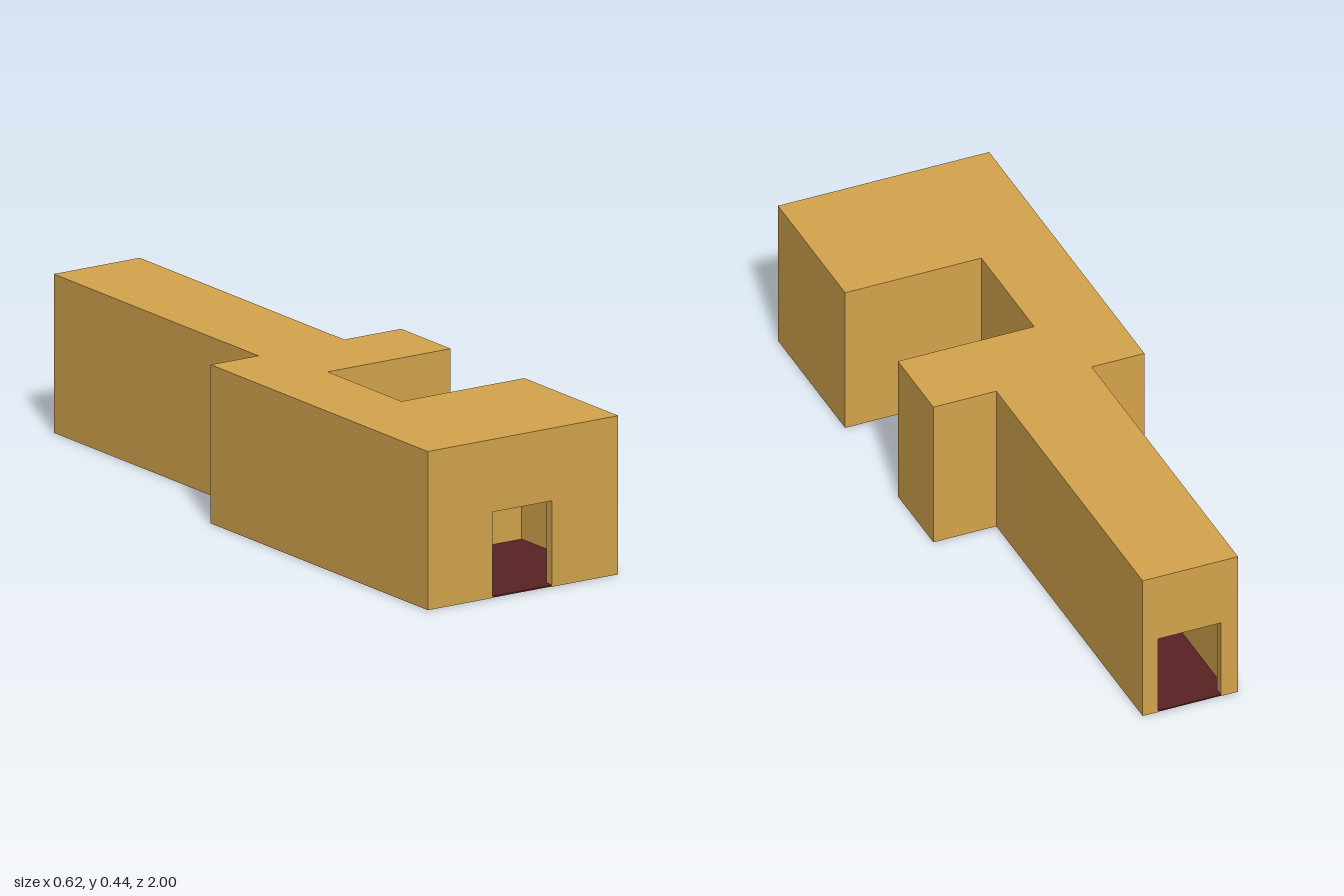
import * as THREE from 'three';

const HEIGHT = 0.443, DOOR = 0.24, ROOF = 0.028, WALL = 0.028;

// Outer wall lines in plan as [x, -z], running counter-clockwise between the two doorways
const EAST = [
  [0.095, -1], [0.31, -1], [0.31, -0.555], [-0.09, -0.555], [-0.09, -0.205],
  [0.31, -0.205], [0.31, 0.03], [0.125, 0.03], [0.125, 1], [0.08, 1],
];
const WEST = [
  [-0.105, 1], [-0.155, 1], [-0.155, 0.03], [-0.31, 0.03], [-0.31, -1], [-0.1, -1],
];

// Moves a right-angled wall line inward by the wall thickness
function inset(path) {
  const normal = (a, b) => {
    const dx = Math.sign(b[0] - a[0]), dy = Math.sign(b[1] - a[1]);
    return [-dy * WALL, dx * WALL];
  };
  return path.map((p, i) => {
    const before = i > 0 ? normal(path[i - 1], p) : [0, 0];
    const after = i < path.length - 1 ? normal(p, path[i + 1]) : [0, 0];
    return [p[0] + before[0] + after[0], p[1] + before[1] + after[1]];
  });
}

const points = (path) => path.map(([x, y]) => new THREE.Vector2(x, y));

// Raises a plan outline into a solid between two heights
function slab(name, outline, hole, bottom, top, material) {
  const shape = new THREE.Shape(points(outline));
  if (hole) shape.holes.push(new THREE.Path(points(hole)));
  const geometry = new THREE.ExtrudeGeometry(shape, { depth: top - bottom, bevelEnabled: false });
  geometry.rotateX(-Math.PI / 2).translate(0, bottom, 0);
  const mesh = new THREE.Mesh(geometry, material);
  mesh.name = name;
  return mesh;
}

export function createModel() {
  const sandstone = new THREE.MeshStandardMaterial({ color: 0xd5a54d });
  sandstone.name = 'sandstone';
  const redFloor = new THREE.MeshStandardMaterial({ color: 0x5a2325 });
  redFloor.name = 'dark red floor';

  const eastInner = inset(EAST), westInner = inset(WEST);
  // Full outlines drop the doorway points, which lie along straight walls
  const outer = [...EAST.slice(1, -1), ...WEST.slice(1, -1)];
  const inner = [...eastInner.slice(1, -1), ...westInner.slice(1, -1)];

  const model = new THREE.Group();
  model.name = 'building';

  // Walls beside the doorways
  for (const [name, line, inside] of [['eastWall', EAST, eastInner], ['westWall', WEST, westInner]]) {
    model.add(slab(name, [...line, ...inside.slice().reverse()], null, 0, DOOR, sandstone));
  }

  // Walls above the doorways, and the flat roof
  model.add(slab('upperWall', outer, inner, DOOR, HEIGHT - ROOF, sandstone));
  model.add(slab('roof', outer, null, HEIGHT - ROOF, HEIGHT, sandstone));

  // Floor inside the walls, reaching out through both doorways
  const floorPlan = [
    EAST[0], ...eastInner, EAST[EAST.length - 1],
    WEST[0], ...westInner, WEST[WEST.length - 1],
  ];
  model.add(slab('floor', floorPlan, null, 0.001, 0.005, redFloor));

  return model;
}
